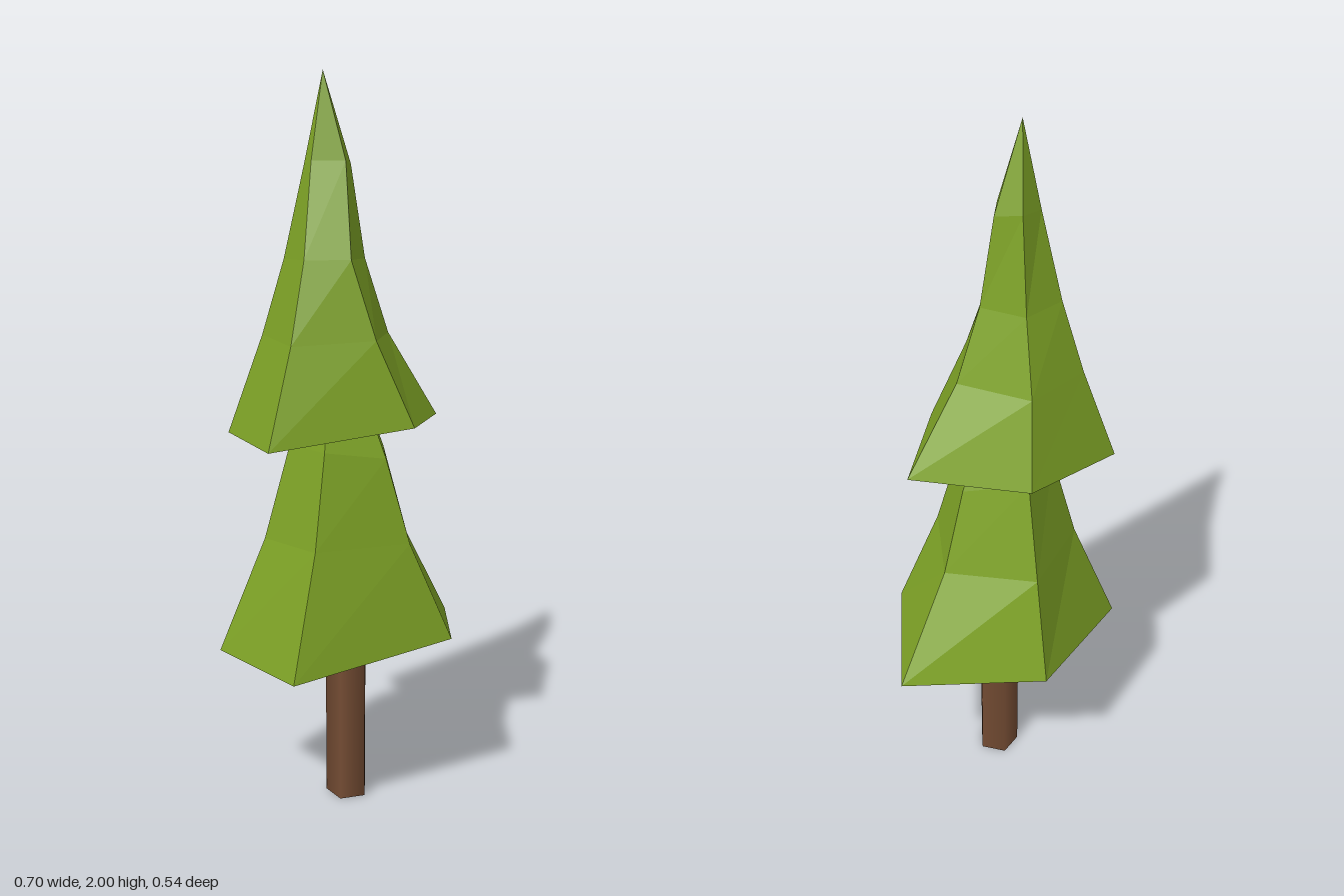
import * as THREE from 'three';

const leafGreen = new THREE.MeshStandardMaterial({ color: 0x7ea326 });
leafGreen.name = 'leafGreen';
const barkBrown = new THREE.MeshStandardMaterial({ color: 0x744c33 });
barkBrown.name = 'barkBrown';

// Faceted tier: five-sided rings from bottom to top, closed by an apex and a flat underside
function makeTier(name, rings, apex) {
  const n = rings[0].length;
  const positions = [...rings.flat(), apex].flat();
  const tip = rings.length * n;
  const index = [];
  for (let i = 0; i < n; i++) {
    const j = (i + 1) % n;
    for (let r = 0; r < rings.length - 1; r++) {
      const a = r * n + i, b = r * n + j;
      index.push(a, b, b + n, a, b + n, a + n);
    }
    index.push(tip - n + i, tip - n + j, tip);
    if (i > 0 && i < n - 1) index.push(0, i + 1, i);
  }
  const indexed = new THREE.BufferGeometry();
  indexed.setAttribute('position', new THREE.Float32BufferAttribute(positions, 3));
  indexed.setIndex(index);
  const geometry = indexed.toNonIndexed();
  geometry.computeVertexNormals();
  const mesh = new THREE.Mesh(geometry, leafGreen);
  mesh.name = name;
  return mesh;
}

export function createModel() {
  const tree = new THREE.Group();
  tree.name = 'pineTree';

  // Five-sided trunk, reaching a little into the foliage
  const trunk = new THREE.Mesh(
    new THREE.CylinderGeometry(0.061, 0.061, 0.6, 5, 1, false, Math.PI / 6), barkBrown);
  trunk.name = 'trunk';
  trunk.position.set(-0.003, 0.3, 0.017);
  tree.add(trunk);

  // Lower foliage, its tip hidden inside the upper tier
  tree.add(makeTier('lowerFoliage', [
    [[-0.255, 0.47, 0.267], [0.213, 0.515, 0.233], [0.351, 0.47, -0.088], [-0.012, 0.49, -0.27], [-0.353, 0.46, -0.055]],
    [[-0.17, 0.8, 0.205], [0.1, 0.79, 0.2], [0.18, 0.77, -0.022], [-0.025, 0.78, -0.182], [-0.23, 0.78, -0.02]],
    [[-0.125, 1.05, 0.158], [0.045, 1.02, 0.165], [0.11, 1.01, 0], [-0.035, 1.05, -0.105], [-0.163, 1.04, 0]],
  ], [-0.05, 1.4, 0.04]));

  // Upper foliage with a slightly bent tip
  tree.add(makeTier('upperFoliage', [
    [[-0.285, 1.07, 0.18], [0.09, 1.115, 0.242], [0.263, 1.09, 0.012], [0.007, 1.1, -0.2], [-0.303, 1.065, -0.095]],
    [[-0.21, 1.33, 0.147], [0, 1.34, 0.2], [0.107, 1.33, 0.032], [-0.027, 1.33, -0.13], [-0.215, 1.33, -0.06]],
    [[-0.16, 1.54, 0.112], [-0.05, 1.54, 0.155], [0.037, 1.53, 0.037], [-0.043, 1.53, -0.064], [-0.165, 1.53, -0.025]],
    [[-0.117, 1.78, 0.053], [-0.037, 1.78, 0.087], [0, 1.77, 0.03], [-0.053, 1.78, -0.02], [-0.122, 1.77, 0.015]],
  ], [-0.077, 2, 0.033]));

  return tree;
}
